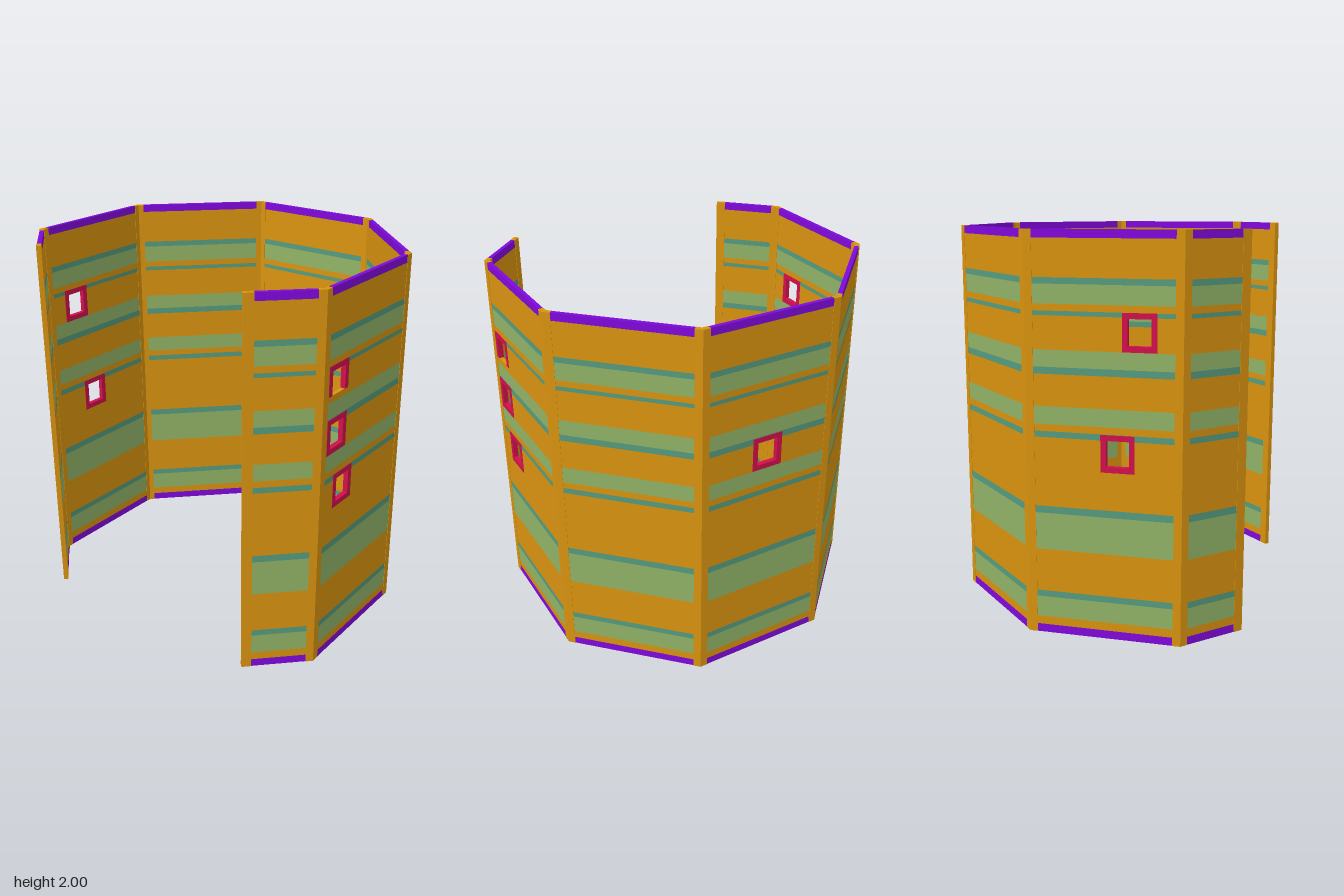
import * as THREE from 'three';
import { mergeGeometries } from 'three/addons/utils/BufferGeometryUtils.js';

const H = 2, T = 0.026, PANEL_T = 0.022, POST = 0.04;

const material = (name, color) => {
  const m = new THREE.MeshStandardMaterial({ color });
  m.name = name;
  return m;
};

// Outer corners of the open ring, from the front left end round the back
const half = [[0.655, 0.785], [0.92, 0.52], [0.92, -0.25], [0.38, -0.79]];
const corners = [...half, ...half.map(([x, z]) => [-x, z]).reverse()]
  .map(([x, z]) => new THREE.Vector2(x, z));

// Painted bands: bottom, top, colour
const bands = [
  [0, 0.042, 'purple'], [0.085, 0.19, 'sage'], [0.19, 0.222, 'teal'],
  [0.44, 0.627, 'sage'], [0.627, 0.663, 'teal'],
  [1.01, 1.04, 'teal'], [1.075, 1.163, 'sage'],
  [1.32, 1.354, 'teal'], [1.354, 1.437, 'sage'],
  [1.6, 1.622, 'teal'], [1.655, 1.748, 'sage'], [1.748, 1.778, 'teal'],
  [1.96, 2, 'purple'],
];

// Windows per panel: centre along the panel, bottom, top, has a sill
const windows = {
  1: [[0.13, 1.47, 1.622, false], [0.13, 1.165, 1.35, true], [0.203, 0.853, 1.038, true]],
  3: [[0.375, 1.165, 1.35, true]],
  5: [[0.561, 1.438, 1.622, true], [0.455, 0.853, 1.038, true]],
};
const WIN_HALF = 0.084, RAIL = 0.028;

function box(u0, u1, y0, y1, depth) {
  return new THREE.BoxGeometry(u1 - u0, y1 - y0, depth)
    .translate((u0 + u1) / 2, (y0 + y1) / 2, -T / 2);
}

// Upright prism from a plan outline of (x, z) points
function prism(points) {
  const shape = new THREE.Shape(points.map(p => new THREE.Vector2(p.x, -p.y)));
  return new THREE.ExtrudeGeometry(shape, { depth: H, bevelEnabled: false }).rotateX(-Math.PI / 2);
}

export function createModel() {
  const mats = {
    ochre: material('ochre', 0xd9930f),
    purple: material('purple', 0x8008dc),
    sage: material('sage green', 0x91b367),
    teal: material('teal green', 0x559b7e),
    crimson: material('crimson', 0xd2104c),
  };
  const model = new THREE.Group();
  model.name = 'foldingScreen';
  const add = (parent, geometry, mat, name) => {
    const mesh = new THREE.Mesh(geometry, mats[mat]);
    mesh.name = name;
    parent.add(mesh);
  };

  const dirs = corners.slice(1).map((p, i) => p.clone().sub(corners[i]).normalize());
  const normals = dirs.map(d => new THREE.Vector2(-d.y, d.x));

  // Panels: rows of wall cut around the windows
  dirs.forEach((d, i) => {
    const panel = new THREE.Group();
    panel.name = 'panel' + (i + 1);
    panel.position.set(corners[i].x, 0, corners[i].y);
    panel.rotation.y = Math.atan2(-d.y, d.x);
    model.add(panel);

    const length = corners[i].distanceTo(corners[i + 1]);
    const start = i === 0 ? 0.05 : POST;
    const end = length - (i === dirs.length - 1 ? 0.05 : POST);
    const wins = windows[i] || [];
    const levels = [...new Set([0, H, ...bands.flatMap(b => [b[0], b[1]]),
      ...wins.flatMap(w => [w[1], w[2]])])].sort((a, b) => a - b);
    const parts = {};
    for (let k = 0; k < levels.length - 1; k++) {
      const y0 = levels[k], y1 = levels[k + 1], mid = (y0 + y1) / 2;
      const band = bands.find(b => mid > b[0] && mid < b[1]);
      const list = (parts[band ? band[2] : 'ochre'] ||= []);
      const cut = wins.find(w => mid > w[1] && mid < w[2]);
      if (!cut) list.push(box(start, end, y0, y1, PANEL_T));
      else list.push(box(start, cut[0] - WIN_HALF, y0, y1, PANEL_T),
        box(cut[0] + WIN_HALF, end, y0, y1, PANEL_T));
    }
    const names = { ochre: 'wall', purple: 'edgeStrips', sage: 'wideBands', teal: 'narrowBands' };
    for (const key in parts) add(panel, mergeGeometries(parts[key]), key, names[key]);

    // Window frames
    for (const [u, y0, y1, sill] of wins) {
      const a = u - WIN_HALF, b = u + WIN_HALF;
      const rails = [box(a, a + RAIL, y0, y1, T), box(b - RAIL, b, y0, y1, T),
        box(a + RAIL, b - RAIL, y1 - RAIL, y1, T)];
      if (sill) rails.push(box(a + RAIL, b - RAIL, y0, y0 + RAIL, T));
      add(panel, mergeGeometries(rails), 'crimson', 'windowFrame');
    }
  });

  // Posts: mitred at the corners, plain at the two open ends
  const along = (p, d, s, n, t) => p.clone().addScaledVector(d, s).addScaledVector(n, -t);
  corners.forEach((p, i) => {
    const before = i > 0, after = i < dirs.length;
    const d0 = dirs[i - 1], n0 = normals[i - 1], d1 = dirs[i], n1 = normals[i];
    let outline;
    if (before && after) {
      const inner = p.clone().addScaledVector(n0.clone().add(n1), -T / (1 + n0.dot(n1)));
      outline = [along(p, d0, -POST, n0, 0), p, along(p, d1, POST, n1, 0),
        along(p, d1, POST, n1, T), inner, along(p, d0, -POST, n0, T)];
    } else {
      const d = after ? d1 : d0, n = after ? n1 : n0, s = after ? 0.05 : -0.05;
      outline = [p, along(p, d, s, n, 0), along(p, d, s, n, T), along(p, d, 0, n, T)];
    }
    add(model, prism(outline), 'ochre', before && after ? 'cornerPost' : 'endPost');
  });
  return model;
}
